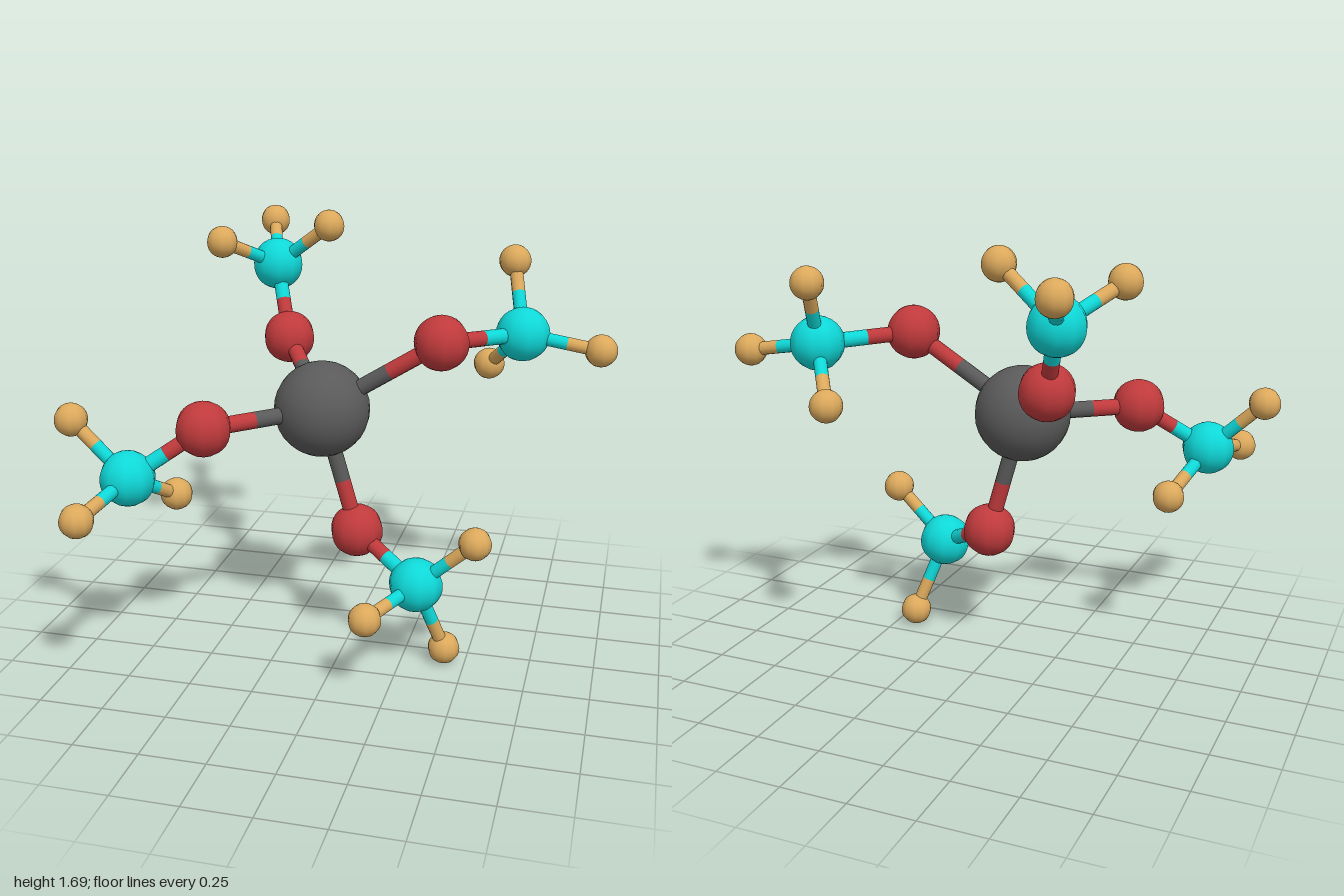
import * as THREE from 'three';

const mat = (name, color) => {
  const m = new THREE.MeshStandardMaterial({ color });
  m.name = name;
  return m;
};

// Atom kinds: radius, sides around the vertical axis, material
const KINDS = {
  centre: { r: 0.186, sides: 24, material: mat('dark grey', 0x5a5a5a) },
  oxygen: { r: 0.105, sides: 10, material: mat('red', 0xc03a3c) },
  carbon: { r: 0.105, sides: 10, material: mat('cyan', 0x0fd8d8) },
  hydrogen: { r: 0.063, sides: 10, material: mat('tan', 0xdca95c) },
};

// Each branch: oxygen, carbon and the three hydrogens on the carbon
const CENTRE = [-0.093, 0.997, 0.025];
const BRANCHES = [
  { name: 'upperLeftBranch', oxygen: [0.365, 1.283, 0.015], carbon: [0.637, 1.268, -0.259],
    hydrogens: [[0.938, 1.219, -0.262], [0.578, 1.523, -0.414], [0.483, 1.085, -0.473]] },
  { name: 'upperBackBranch', oxygen: [-0.326, 1.183, -0.33], carbon: [-0.419, 1.453, -0.492],
    hydrogens: [[-0.174, 1.633, -0.402], [-0.578, 1.575, -0.255], [-0.508, 1.592, -0.758]] },
  { name: 'rightFrontBranch', oxygen: [-0.461, 0.988, 0.347], carbon: [-0.722, 0.812, 0.462],
    hydrogens: [[-0.941, 1.019, 0.448], [-0.792, 0.752, 0.758], [-0.631, 0.668, 0.217]] },
  { name: 'lowerBranch', oxygen: [0.045, 0.502, 0.018], carbon: [0.316, 0.366, 0.177],
    hydrogens: [[0.542, 0.568, 0.2], [0.176, 0.329, 0.442], [0.417, 0.066, 0.092]] },
];

function addAtom(group, kind, p) {
  const { r, sides, material } = KINDS[kind];
  const mesh = new THREE.Mesh(new THREE.SphereGeometry(r, sides, 16), material);
  mesh.position.set(...p);
  mesh.name = kind + 'Atom';
  group.add(mesh);
}

function addRod(group, name, a, b, radius, material) {
  const dir = b.clone().sub(a);
  const mesh = new THREE.Mesh(new THREE.CylinderGeometry(radius, radius, dir.length(), 12, 1, true), material);
  mesh.position.copy(a).add(b).multiplyScalar(0.5);
  mesh.quaternion.setFromUnitVectors(new THREE.Vector3(0, 1, 0), dir.normalize());
  mesh.name = name;
  group.add(mesh);
}

// Two-tone bond, changing colour halfway along its visible length
function addBond(group, kindA, pA, kindB, pB, radius) {
  const a = new THREE.Vector3(...pA), b = new THREE.Vector3(...pB);
  const A = KINDS[kindA], B = KINDS[kindB];
  const length = a.distanceTo(b);
  const mid = a.clone().lerp(b, (length + A.r - B.r) / 2 / length);
  addRod(group, kindA + 'HalfBond', a, mid, radius, A.material);
  addRod(group, kindB + 'HalfBond', mid, b, radius, B.material);
}

export function createModel() {
  const model = new THREE.Group();
  model.name = 'molecule';
  addAtom(model, 'centre', CENTRE);

  for (const { name, oxygen, carbon, hydrogens } of BRANCHES) {
    const branch = new THREE.Group();
    branch.name = name;
    addAtom(branch, 'oxygen', oxygen);
    addAtom(branch, 'carbon', carbon);
    addBond(branch, 'centre', CENTRE, 'oxygen', oxygen, 0.032);
    addBond(branch, 'oxygen', oxygen, 'carbon', carbon, 0.03);
    for (const h of hydrogens) {
      addAtom(branch, 'hydrogen', h);
      addBond(branch, 'carbon', carbon, 'hydrogen', h, 0.026);
    }
    model.add(branch);
  }
  return model;
}
